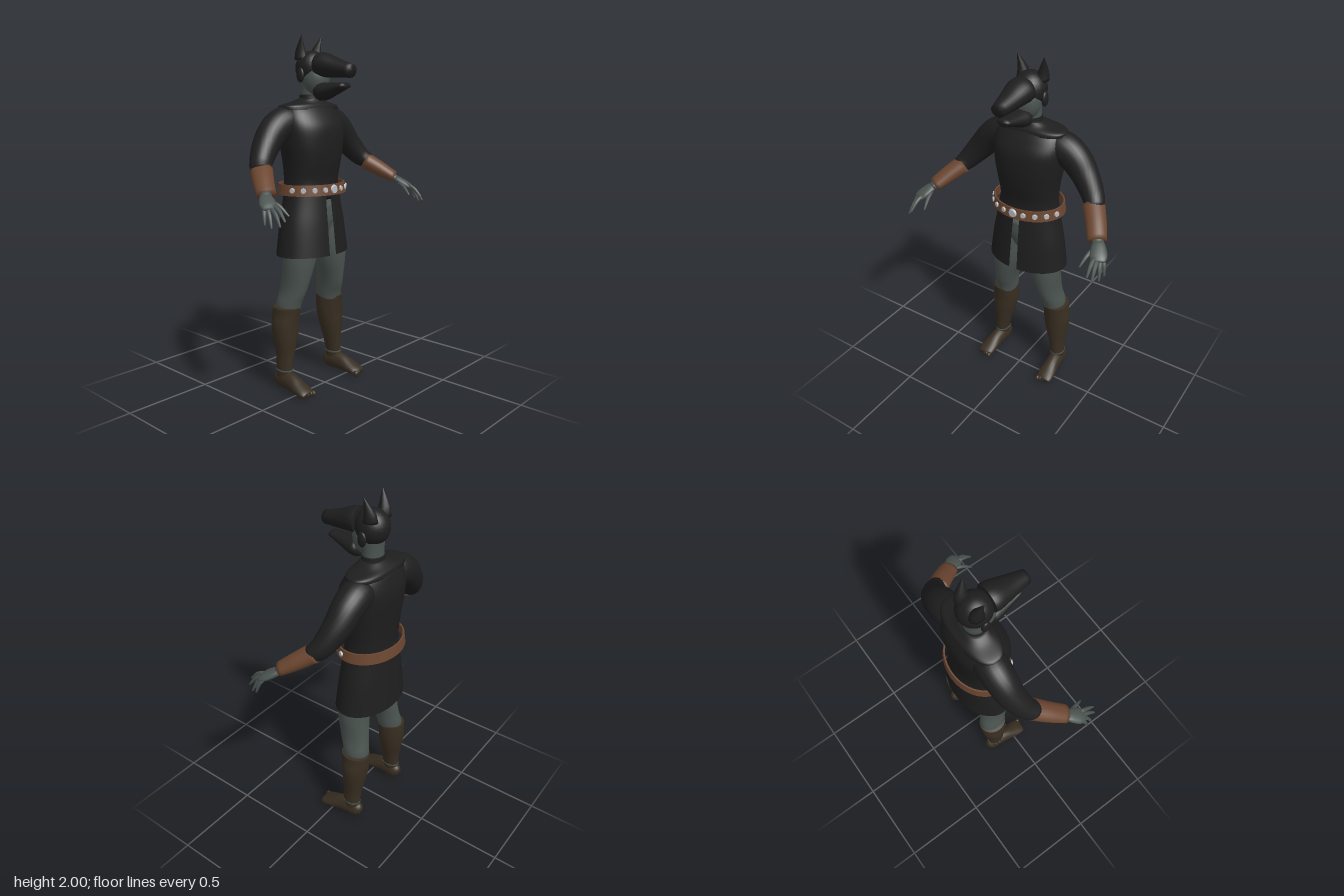
import * as THREE from 'three';

const mat = (name, color, side = THREE.FrontSide) => {
  const m = new THREE.MeshStandardMaterial({ color, side });
  m.name = name;
  return m;
};

// Smooth skin through elliptical sections; each row is [x, y, z, radiusU, radiusV].
// level: sections stay horizontal (rows rise in y); otherwise they follow the path.
function loft(rows, { level = false, n = 24, sub = 5, p = 2, from = 0, to = 360, cap = true } = {}) {
  const path = new THREE.CatmullRomCurve3(rows.map(r => new THREE.Vector3(r[0], r[1], r[2])), false, 'catmullrom');
  const radii = new THREE.CatmullRomCurve3(rows.map(r => new THREE.Vector3(r[3], r[4], 0)), false, 'catmullrom');
  const closed = to - from === 360, cols = closed ? n : n + 1;
  const steps = (rows.length - 1) * sub, pos = [], idx = [];
  const u = new THREE.Vector3(1, 0, 0), v = new THREE.Vector3(0, 0, 1), up = new THREE.Vector3(0, 1, 0);
  const soft = t => Math.sign(t) * Math.abs(t) ** (2 / p);
  for (let i = 0; i <= steps; i++) {
    const c = path.getPoint(i / steps), r = radii.getPoint(i / steps);
    if (!level) {
      const d = path.getTangent(i / steps);
      u.crossVectors(up, d).normalize();
      v.crossVectors(u, d);
    }
    for (let j = 0; j < cols; j++) {
      const a = THREE.MathUtils.degToRad(from + (to - from) * j / n);
      const q = c.clone().addScaledVector(u, soft(Math.cos(a)) * r.x).addScaledVector(v, soft(Math.sin(a)) * r.y);
      pos.push(q.x, q.y, q.z);
    }
  }
  for (let i = 0; i < steps; i++) for (let j = 0; j < n; j++) {
    const k = (j + 1) % cols, a = i * cols + j, b = a + cols, c = i * cols + k, d = c + cols;
    idx.push(a, b, c, c, b, d);
  }
  if (cap && closed) {
    const end = steps * cols, s = pos.length / 3, first = rows[0], last = rows[rows.length - 1];
    pos.push(first[0], first[1], first[2], last[0], last[1], last[2]);
    for (let j = 0; j < n; j++) {
      const k = (j + 1) % n;
      idx.push(s, j, k, s + 1, end + k, end + j);
    }
  }
  const g = new THREE.BufferGeometry();
  g.setAttribute('position', new THREE.Float32BufferAttribute(pos, 3));
  g.setIndex(idx);
  g.computeVertexNormals();
  return g;
}

export function createModel() {
  const root = new THREE.Group();
  const black = mat('black cloth', 0x1e1e1e);
  const skirtCloth = mat('black skirt cloth', 0x1e1e1e, THREE.DoubleSide);
  const skin = mat('grey skin', 0x4b5450);
  const leather = mat('brown leather', 0x6b4630);
  const boot = mat('dark boot leather', 0x382e21);
  const metal = mat('pale metal', 0xb8bcc0);

  const add = (name, geo, material) => {
    const m = new THREE.Mesh(geo, material);
    m.name = name;
    root.add(m);
    return m;
  };
  const ball = (name, material, at, size) => {
    const m = add(name, new THREE.SphereGeometry(1, 24, 16), material);
    m.position.set(...at);
    m.scale.set(...size);
    return m;
  };
  const level = { level: true };

  // Tunic
  add('tunic', loft([
    [0, 1.1, -.1, .18, .125], [0, 1.2, -.105, .172, .122], [0, 1.3, -.1, .18, .135], [0, 1.4, -.1, .198, .145],
    [0, 1.5, -.105, .208, .145], [0, 1.57, -.115, .2, .12], [0, 1.62, -.122, .165, .09], [0, 1.65, -.112, .07, .06],
  ], { level: true, n: 40, p: 2.3 }), black);
  add('shoulderYoke', loft([
    [0, 1.6, -.122, .208, .1], [0, 1.622, -.122, .2, .093], [0, 1.64, -.118, .12, .075], [0, 1.66, -.11, .07, .058],
  ], { level: true, n: 40, p: 2.4 }), black);
  add('collar', loft([[0, 1.62, -.107, .085, .07], [0, 1.65, -.107, .07, .062], [0, 1.68, -.107, .066, .06]], level), black);

  // Skirt with a slit at the front, and hips beneath
  add('skirt', loft([
    [0, .785, -.098, .245, .165], [0, .95, -.1, .222, .15], [0, 1.08, -.102, .195, .136], [0, 1.18, -.103, .178, .126],
  ], { level: true, n: 56, from: 97, to: 445 }), skirtCloth);
  add('hips', loft([[0, .9, -.095, .1, .09], [0, .98, -.095, .16, .115], [0, 1.07, -.1, .165, .118]], level), skin);

  // Belt band standing slightly off the waist
  const belt = loft([
    [0, 1.13, -.1, .22, .174], [0, 1.19, -.1, .212, .166], [0, 1.19, -.1, .203, .157],
    [0, 1.13, -.1, .211, .165], [0, 1.13, -.1, .22, .174],
  ], { level: true, n: 56, sub: 1, cap: false }).toNonIndexed();
  belt.computeVertexNormals();
  add('belt', belt, leather);
  for (const deg of [-74, -54, -35, -17, 0, 17, 35, 54, 74]) {
    const t = THREE.MathUtils.degToRad(deg), r = deg ? .018 : .029;
    const geo = new THREE.CylinderGeometry(r * .75, r, .012, 8).rotateX(Math.PI / 2);
    const stud = add(deg ? 'beltStud' : 'beltBuckle', geo, metal);
    stud.position.set(.217 * Math.sin(t), 1.16, -.1 + .171 * Math.cos(t));
    stud.rotation.y = Math.atan2(Math.sin(t) / .217, Math.cos(t) / .171);
  }

  // Neck, face and jackal mask
  add('neck', loft([[0, 1.62, -.11, .062, .056], [0, 1.7, -.105, .06, .056], [0, 1.78, -.1, .065, .065]], level), skin);
  ball('face', skin, [0, 1.77, -.07], [.077, .1, .078]);
  ball('maskSkull', black, [0, 1.825, -.1], [.09, .095, .092]);
  add('maskMuzzle', loft([
    [0, 1.84, -.03, .076, .068], [0, 1.838, .005, .078, .066], [0, 1.82, .09, .06, .051], [0, 1.802, .193, .038, .036],
  ]), black);
  add('maskJaw', loft([
    [0, 1.7, -.045, .05, .04], [0, 1.697, -.01, .068, .05], [0, 1.708, .06, .054, .036], [0, 1.727, .155, .034, .016],
  ]), black);

  for (const s of [1, -1]) {
    const side = s > 0 ? 'left' : 'right';
    const limb = (name, rows, material, opts) =>
      add(side + name, loft(rows.map(([x, ...rest]) => [s * x, ...rest]), opts), material);

    // Ears
    ball(side + 'SideEar', black, [s * .09, 1.785, -.1], [.014, .04, .026]);
    limb('PointedEar', [[.055, 1.87, -.125, .036, .042], [.062, 1.92, -.125, .026, .03], [.08, 2, -.1, .001, .001]],
      black, { level: true, n: 10, sub: 3 });

    // Arms
    limb('Sleeve', [
      [.13, 1.535, -.13, .085, .08], [.19, 1.525, -.135, .088, .09], [.26, 1.485, -.135, .084, .086],
      [.33, 1.41, -.125, .075, .075], [.4, 1.325, -.09, .062, .06], [.44, 1.28, -.045, .052, .046],
    ], black);
    limb('Bracer', [[.425, 1.288, -.058, .06, .05], [.48, 1.237, .015, .056, .045], [.53, 1.187, .09, .051, .034]], leather);
    limb('Wrist', [[.515, 1.2, .06, .03, .026], [.54, 1.175, .1, .03, .022]], skin);
    limb('Palm', [
      [.535, 1.18, .085, .028, .02], [.552, 1.163, .115, .04, .022], [.572, 1.142, .15, .045, .02], [.585, 1.125, .178, .036, .013],
    ], skin, { n: 16 });
    const fingers = [ // knuckle, fingertip
      ['Thumb', [.53, 1.155, .12], [.505, 1.09, .222]],
      ['IndexFinger', [.56, 1.14, .175], [.57, 1.075, .263]],
      ['MiddleFinger', [.577, 1.13, .175], [.595, 1.052, .255]],
      ['RingFinger', [.592, 1.125, .165], [.615, 1.042, .215]],
      ['LittleFinger', [.602, 1.13, .15], [.625, 1.055, .178]],
    ];
    for (const [name, a, b] of fingers) {
      const mid = a.map((c, i) => (c + b[i]) / 2 + (i === 1 ? .012 : 0));
      limb(name, [[...a, .012, .012], [...mid, .011, .011], [...b, .005, .005]], skin, { n: 8, sub: 3 });
    }

    // Legs and boots
    limb('Leg', [
      [.175, .42, -.13, .06, .07], [.17, .5, -.125, .066, .08], [.152, .6, -.1, .066, .09],
      [.125, .78, -.077, .095, .096], [.1, 1, -.09, .095, .105],
    ], skin, level);
    limb('BootShaft', [
      [.212, .06, -.125, .038, .05], [.21, .12, -.123, .042, .053], [.202, .2, -.124, .05, .057], [.194, .3, -.13, .071, .071],
      [.19, .38, -.134, .081, .078], [.184, .44, -.133, .077, .082], [.182, .487, -.13, .074, .084],
    ], boot, level);
    limb('AnkleGap', [[.21, .11, -.123, .043, .0545], [.21, .12, -.123, .0435, .055]], skin, level);
    limb('Foot', [
      [.207, .045, -.19, .018, .025], [.209, .052, -.165, .038, .05], [.212, .056, -.11, .043, .055],
      [.216, .05, -.05, .044, .05], [.22, .036, .01, .051, .036], [.223, .024, .06, .05, .024], [.223, .018, .08, .04, .015],
    ], boot, { n: 20 });
    for (let i = 0; i < 5; i++)
      ball(side + 'Toe', boot, [s * (.187 + .018 * i), .018, .08 - .006 * i], [i ? .01 : .014, .018, .018]);
  }
  return root;
}
